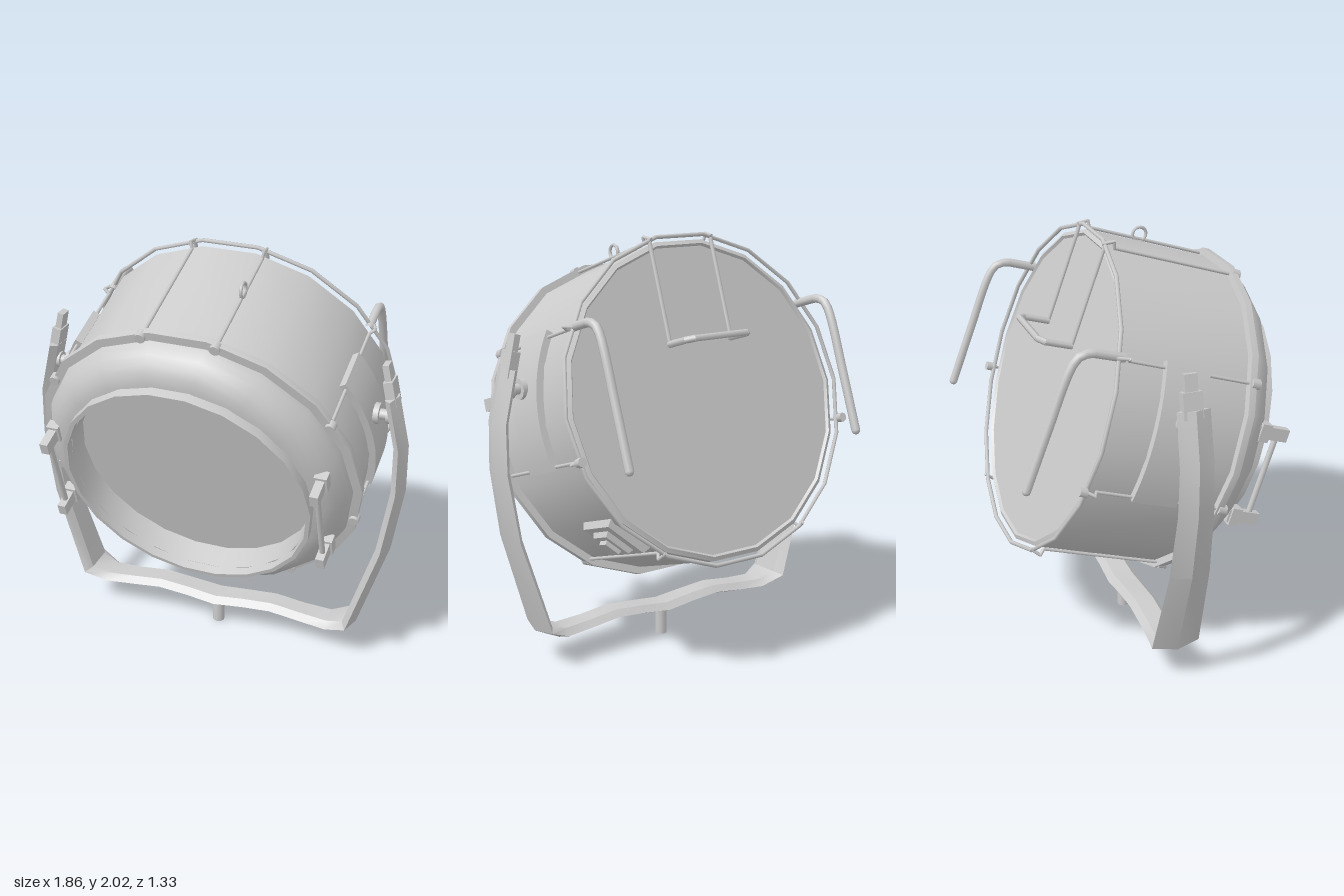
import * as THREE from 'three';
import { toCreasedNormals } from 'three/addons/utils/BufferGeometryUtils.js';

const SIDES = 18;
const TILT = THREE.MathUtils.degToRad(18);
const V = (x, y, z) => new THREE.Vector3(x, y, z);
const material = new THREE.MeshStandardMaterial({ color: 0xcccccc });
const doubleSided = new THREE.MeshStandardMaterial({ color: 0xcccccc, side: THREE.DoubleSide });

function add(parent, name, geometry, mat = material) {
  const mesh = new THREE.Mesh(geometry, mat);
  mesh.name = name;
  parent.add(mesh);
  return mesh;
}

// Turned part around the lamp axis (z); profile is [radius, z] from back to front
function turned(profile, crease = 0.6, sides = SIDES) {
  const pts = profile.map(([r, z]) => new THREE.Vector2(r, z));
  const geo = new THREE.LatheGeometry(pts, sides, Math.PI / sides);
  return toCreasedNormals(geo.rotateX(Math.PI / 2), crease);
}

// Straight round rods joining a list of points
function rod(parent, name, points, r, sides = 6) {
  const group = new THREE.Group();
  group.name = name;
  for (let i = 0; i + 1 < points.length; i++) {
    const dir = points[i + 1].clone().sub(points[i]);
    const seg = add(group, name + 'Segment', new THREE.CylinderGeometry(r, r, dir.length() + r * 0.6, sides));
    seg.position.copy(points[i]).addScaledVector(dir, 0.5);
    seg.quaternion.setFromUnitVectors(V(0, 1, 0), dir.normalize());
  }
  parent.add(group);
}

// Block with sloping sides, base at z = 0 and pointing along +z
function frustum(w, h, depth, taper) {
  const geo = new THREE.CylinderGeometry(Math.SQRT1_2 * taper, Math.SQRT1_2, depth, 4, 1, false, Math.PI / 4);
  geo.rotateX(Math.PI / 2).translate(0, 0, depth / 2).scale(w, h, 1);
  return toCreasedNormals(geo, 0.3);
}

// Yoke: pointed five-sided section swept along [x, y, halfWidth] stations
function yokeGeometry() {
  const half = [[0.845, 1.45, 0.078], [0.9, 1.21, 0.08], [0.902, 0.98, 0.085], [0.85, 0.65, 0.097],
    [0.705, 0.19, 0.118], [0.595, 0.143, 0.085], [0.45, 0.152, 0.075], [0.3, 0.17, 0.075], [0.15, 0.158, 0.075]];
  const path = [...half, [0, 0.142, 0.08], ...half.map(([x, y, a]) => [-x, y, a]).reverse()];
  const t = 0.03, pos = [], index = [], n = 5;
  path.forEach(([x, y, a], i) => {
    const p = path[Math.max(i - 1, 0)], q = path[Math.min(i + 1, path.length - 1)];
    const len = Math.hypot(q[0] - p[0], q[1] - p[1]);
    const nx = -(q[1] - p[1]) / len, ny = (q[0] - p[0]) / len;
    for (const [d, z] of [[t, 0], [0, a], [-t, 0.6 * a], [-t, -0.6 * a], [0, -a]])
      pos.push(x + nx * d, y + ny * d, z);
    if (i === 0) return;
    for (let k = 0; k < n; k++) {
      const A = (i - 1) * n + k, B = (i - 1) * n + (k + 1) % n;
      index.push(A, B, A + n, B, B + n, A + n);
    }
  });
  const last = (path.length - 1) * n;
  for (let k = 1; k + 1 < n; k++) index.push(0, k + 1, k, last, last + k, last + k + 1);
  const geo = new THREE.BufferGeometry();
  geo.setAttribute('position', new THREE.Float32BufferAttribute(pos, 3));
  geo.setIndex(index);
  return toCreasedNormals(geo, 0.55);
}

function buildLamp() {
  const lamp = new THREE.Group();
  lamp.name = 'lampHead';

  // Drum, flange, rounded front shell and recessed lens
  add(lamp, 'drum', turned([[0, 0.022], [0.725, 0.022], [0.735, 0.01], [0.755, 0.02], [0.755, 0.65]]));
  add(lamp, 'flange', turned([[0.74, 0.642], [0.79, 0.642], [0.79, 0.675], [0.7, 0.68]]));
  add(lamp, 'frontShell', turned([[0.75, 0.67], [0.742, 0.705], [0.725, 0.742], [0.698, 0.778],
    [0.663, 0.803], [0.625, 0.817], [0.585, 0.822]], 0.7));
  add(lamp, 'bezel', turned([[0.605, 0.8], [0.605, 0.866], [0.585, 0.866], [0.578, 0.7]], 0.6, 22), doubleSided);
  add(lamp, 'lens', turned([[0.582, 0.702], [0, 0.702]], 0.6, 22));

  // Rear hoop held by rods that run back from bolts on the flange
  add(lamp, 'rearHoop', new THREE.TorusGeometry(0.775, 0.01, 6, SIDES));
  for (const s of [1, -1]) {
    [77, 30.5, -14.5, -58.5].forEach((deg, i) => {
      const a = THREE.MathUtils.degToRad(deg);
      const at = (r, z) => V(s * r * Math.cos(a), r * Math.sin(a), z);
      rod(lamp, 'tieRod', [at(0.765, 0.68), at(0.765, 0.05), at(0.795, 0.035), at(0.772, -0.012)], 0.008);
      const bolt = add(lamp, 'flangeBolt', new THREE.CylinderGeometry(0.025, 0.025, 0.04, 8).rotateX(Math.PI / 2));
      bolt.position.copy(at(0.768, 0.672));
      if (i === 2) {
        const knob = add(lamp, 'rearKnob', new THREE.CylinderGeometry(0.022, 0.022, 0.035, 8).rotateX(Math.PI / 2));
        knob.position.copy(at(0.78, -0.02));
      }
    });

    // Curved side handle behind the drum
    const curve = new THREE.CatmullRomCurve3([V(0.65, 0.395, 0.03), V(0.65, 0.393, -0.06), V(0.65, 0.388, -0.13),
      V(0.65, 0.36, -0.175), V(0.65, 0.3, -0.195), V(0.65, 0.02, -0.212), V(0.65, -0.27, -0.226)]
      .map((p) => V(p.x * s, p.y, p.z)));
    add(lamp, 'sideHandle', new THREE.TubeGeometry(curve, 24, 0.021, 8));
    const tip = add(lamp, 'handleTip', new THREE.SphereGeometry(0.021, 8, 6));
    tip.position.set(s * 0.65, -0.27, -0.226);

    // Front clips with a rod between them
    for (const y of [0.175, -0.25]) {
      const clip = add(lamp, 'frontClip', new THREE.BoxGeometry(0.04, 0.06, 0.16));
      clip.position.set(s * 0.65, y, 0.845);
      const pad = add(lamp, 'clipPad', new THREE.BoxGeometry(0.06, 0.085, 0.05));
      pad.position.set(s * 0.65, y, 0.80);
    }
    rod(lamp, 'clipRod', [V(s * 0.65, 0.175, 0.875), V(s * 0.65, -0.25, 0.875)], 0.014, 8);

    // Curved mounting plate on the drum side
    const plate = new THREE.Shape();
    const a0 = -0.27, a1 = 0.57;
    plate.absarc(0, 0, 0.785, a0, a1, false);
    plate.absarc(0, 0, 0.75, a1, a0, true);
    const geo = new THREE.ExtrudeGeometry(plate, { depth: 0.215, bevelEnabled: false, curveSegments: 8 });
    const side = add(lamp, 'mountPlate', toCreasedNormals(geo, 0.5));
    side.position.z = s > 0 ? 0.22 : 0.435;
    if (s < 0) side.rotation.y = Math.PI;
  }

  // Bent carrying bracket at the back
  const left = [V(0.175, 0.755, 0), V(0.175, 0.265, -0.015)];
  const flip = (p) => V(-p.x, p.y, p.z);
  rod(lamp, 'bracketLeg', left, 0.01);
  rod(lamp, 'bracketLeg', left.map(flip), 0.01);
  const out = [V(0.175, 0.265, -0.015), V(0.175, 0.262, -0.14), V(0.145, 0.262, -0.17)];
  rod(lamp, 'bracketGrip', [...out, ...out.map(flip).reverse()], 0.016);

  // Small ring on top
  const ring = add(lamp, 'topRing', new THREE.TorusGeometry(0.034, 0.008, 6, 14).rotateY(Math.PI / 2));
  ring.position.set(0.172, 0.768, 0.305);

  // Switch box low on the left side
  const box = new THREE.Group();
  box.name = 'switchBox';
  box.rotation.z = THREE.MathUtils.degToRad(-47);
  lamp.add(box);
  [['switchBase', 0.25, 0.25, 0.05, 0.86, 0.725], ['switchFrame', 0.13, 0.16, 0.03, 0.85, 0.77],
    ['switchKey', 0.06, 0.09, 0.03, 0.9, 0.79]].forEach(([name, w, h, d, taper, r]) => {
    const part = add(box, name, frustum(w, h, d, taper).rotateY(Math.PI / 2));
    part.position.set(r, 0, 0.2);
  });

  lamp.position.set(0, 1.28, -0.35);
  lamp.rotation.x = TILT;
  return lamp;
}

function buildStand() {
  const stand = new THREE.Group();
  stand.name = 'stand';
  add(stand, 'yoke', yokeGeometry());
  add(stand, 'stem', new THREE.CylinderGeometry(0.03, 0.03, 0.13, 10)).position.y = 0.065;

  for (const s of [1, -1]) {
    // Tabs on the yoke ends
    const lower = add(stand, 'yokeTab', new THREE.BoxGeometry(0.045, 0.12, 0.09));
    lower.position.set(s * 0.834, 1.47, -0.005);
    const upper = add(stand, 'yokeTip', new THREE.BoxGeometry(0.03, 0.12, 0.06));
    upper.position.set(s * 0.816, 1.545, -0.005);
    lower.rotation.z = upper.rotation.z = s * 0.22;

    // Pivot shaft with collar and nut
    [['pivotShaft', 0.025, 0.13, 0.81], ['pivotCollar', 0.05, 0.025, 0.775], ['pivotNut', 0.04, 0.03, 0.835]]
      .forEach(([name, r, length, x]) => {
        const part = add(stand, name, new THREE.CylinderGeometry(r, r, length, 10).rotateZ(Math.PI / 2));
        part.position.set(s * x, 1.35, 0);
      });
  }
  stand.position.z = 0.037;
  return stand;
}

export function createModel() {
  const model = new THREE.Group();
  model.name = 'floodLamp';
  model.add(buildLamp(), buildStand());
  return model;
}
